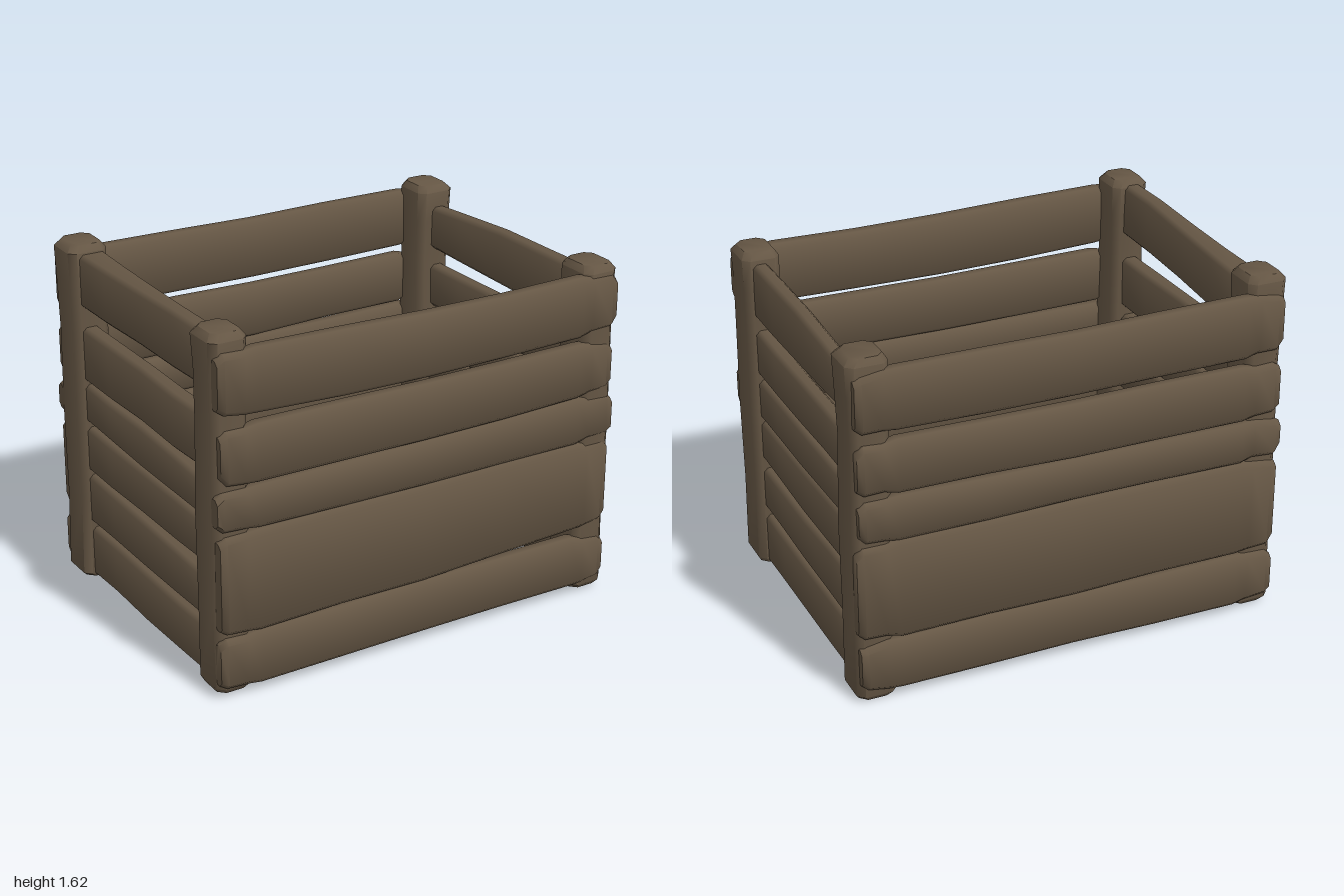
import * as THREE from 'three';
import { toCreasedNormals } from 'three/addons/utils/BufferGeometryUtils.js';

const wood = new THREE.MeshStandardMaterial({ color: 0x665745 });
wood.name = 'dark weathered wood';

let seed = 7;
const rand = () => (seed = (seed * 16807) % 2147483647) / 2147483647;
const jitter = (a) => (rand() - 0.5) * 2 * a;

// Axis order: along the bar, then across it (u, v), kept right-handed.
const AXES = { x: [0, 1, 2], y: [1, 2, 0], z: [2, 0, 1] };

// Bar lofted through chamfered rectangles: stations are [s, u0, u1, v0, v1, chamfer].
function bar(name, axis, stations) {
  const [S, U, V] = AXES[axis];
  const pos = [], index = [];
  const add = (s, u, v) => {
    const p = [0, 0, 0];
    p[S] = s; p[U] = u; p[V] = v;
    pos.push(...p);
  };
  for (const [s, u0, u1, v0, v1, c] of stations) {
    for (const [u, v] of [[u0 + c, v0], [u1 - c, v0], [u1, v0 + c], [u1, v1 - c],
      [u1 - c, v1], [u0 + c, v1], [u0, v1 - c], [u0, v0 + c]]) add(s, u, v);
  }
  const n = stations.length;
  for (let i = 0; i < n - 1; i++) {
    for (let j = 0; j < 8; j++) {
      const a = i * 8 + j, b = i * 8 + (j + 1) % 8;
      index.push(a, b, b + 8, a, b + 8, a + 8);
    }
  }
  for (let j = 1; j < 7; j++) {
    const k = (n - 1) * 8;
    index.push(0, j + 1, j, k, k + j, k + j + 1);
  }
  const g = new THREE.BufferGeometry();
  g.setAttribute('position', new THREE.Float32BufferAttribute(pos, 3));
  g.setIndex(index);
  const mesh = new THREE.Mesh(toCreasedNormals(g, 0.85), wood);
  mesh.name = name;
  return mesh;
}

// Long plank along x; [bottom, top] heights at the left edge, middle and right edge of the view.
function longPlank(name, z0, z1, heights) {
  const at = (t) => {
    const k = t < 0 ? 0 : 1, f = t < 0 ? t + 1 : t;
    return [0, 1].map((i) => heights[k][i] + (heights[k + 1][i] - heights[k][i]) * f);
  };
  const ends = [-0.985 + jitter(0.012), 0.985 + jitter(0.012)];
  const xs = [ends[0], ends[0] + 0.03, -0.86, -0.8, -0.4, 0, 0.4, 0.8, 0.86, ends[1] - 0.03, ends[1]];
  const inset = [0.035, 0.012, 0.008, 0, 0, 0, 0, 0, 0.008, 0.012, 0.035];
  return bar(name, 'x', xs.map((x, i) => {
    const [b, t] = at(x), d = inset[i], w = d ? 0.008 : 0.004;
    return [x, b + d + jitter(w), t - d + jitter(w), z0 + d * 0.4, z1 - d * 0.4 + jitter(0.004), 0.02];
  }));
}

// Short plank along z between the posts; heights at the front, middle and back.
function sidePlank(name, x0, x1, heights, bulge = 0) {
  return bar(name, 'z', [-0.62, -0.3, 0, 0.3, 0.62].map((z) => {
    const k = z > 0 ? 0 : 1, f = z > 0 ? 1 - z / 0.62 : -z / 0.62;
    const [b, t] = [0, 1].map((i) => heights[k][i] + (heights[k + 1][i] - heights[k][i]) * f);
    const warp = bulge * Math.max(0, 0.3 - z) / 0.92;
    return [z, x0 + jitter(0.004), x1 + warp, b + jitter(0.004), t + jitter(0.004), 0.018];
  }));
}

// Upright post with worn, bevelled ends.
function post(name, x0, x1, z0, z1, y0, y1) {
  const ys = [y0, y0 + 0.025, 0.4, 0.8, 1.2, y1 - 0.17, y1 - 0.03, y1];
  const inset = [0.022, 0.004, 0.008, 0.004, 0.009, 0.008, 0.003, 0.025];
  return bar(name, 'y', ys.map((y, i) => {
    const d = inset[i], r = () => d + jitter(0.004);
    return [y, z0 + r(), z1 - r(), x0 + r(), x1 - r(), 0.03];
  }));
}

export function createModel() {
  const crate = new THREE.Group();
  crate.name = 'woodenCrate';

  // Corner posts
  crate.add(
    post('frontLeftPost', 0.82, 1.0, 0.515, 0.74, 0.015, 1.565),
    post('frontRightPost', -1.0, -0.82, 0.515, 0.72, 0.02, 1.62),
    post('backLeftPost', 0.81, 1.0, -0.735, -0.525, 0.0, 1.585),
    post('backRightPost', -1.0, -0.81, -0.735, -0.525, 0.01, 1.615),
  );

  // Long planks, front and back
  const front = [
    [[0.04, 0.295], [0.05, 0.295], [0.045, 0.285]],
    [[0.295, 0.755], [0.3, 0.755], [0.34, 0.755]],
    [[0.76, 0.955], [0.76, 0.955], [0.75, 0.975]],
    [[0.97, 1.225], [0.965, 1.22], [0.975, 1.22]],
    [[1.27, 1.555], [1.245, 1.525], [1.265, 1.53]],
  ];
  const back = [
    [[0.04, 0.29], [0.05, 0.29], [0.05, 0.29]],
    [[0.31, 0.755], [0.3, 0.755], [0.3, 0.755]],
    [[0.76, 0.95], [0.765, 0.955], [0.755, 0.96]],
    [[0.965, 1.22], [0.965, 1.215], [0.98, 1.22]],
    [[1.26, 1.54], [1.25, 1.53], [1.26, 1.53]],
  ];
  front.forEach((h, i) => crate.add(longPlank('frontPlank' + (i + 1), 0.665, 0.75, h)));
  back.forEach((h, i) => crate.add(longPlank('backPlank' + (i + 1), -0.76, -0.68, h)));

  // Short planks, left and right
  const left = [
    [[0.02, 0.27], [0.025, 0.265], [0.03, 0.275]],
    [[0.31, 0.515], [0.295, 0.51], [0.29, 0.535]],
    [[0.56, 0.755], [0.545, 0.76], [0.55, 0.775]],
    [[0.765, 0.955], [0.765, 0.96], [0.785, 0.96]],
    [[0.98, 1.2], [0.98, 1.19], [0.985, 1.19]],
    [[1.26, 1.515], [1.26, 1.51], [1.28, 1.475]],
  ];
  const right = [
    [[0.03, 0.265], [0.025, 0.265], [0.025, 0.27]],
    [[0.3, 0.5], [0.295, 0.52], [0.29, 0.535]],
    [[0.55, 0.75], [0.55, 0.76], [0.55, 0.77]],
    [[0.77, 0.94], [0.775, 0.965], [0.785, 0.975]],
    [[0.985, 1.235], [0.985, 1.235], [0.985, 1.24]],
    [[1.35, 1.6], [1.34, 1.59], [1.33, 1.575]],
  ];
  left.forEach((h, i) => crate.add(sidePlank('leftPlank' + (i + 1), 0.88, 0.955, h)));
  right.forEach((h, i) => crate.add(sidePlank('rightPlank' + (i + 1), -0.96, -0.875, h, i === 5 ? 0.05 : 0)));

  return crate;
}
